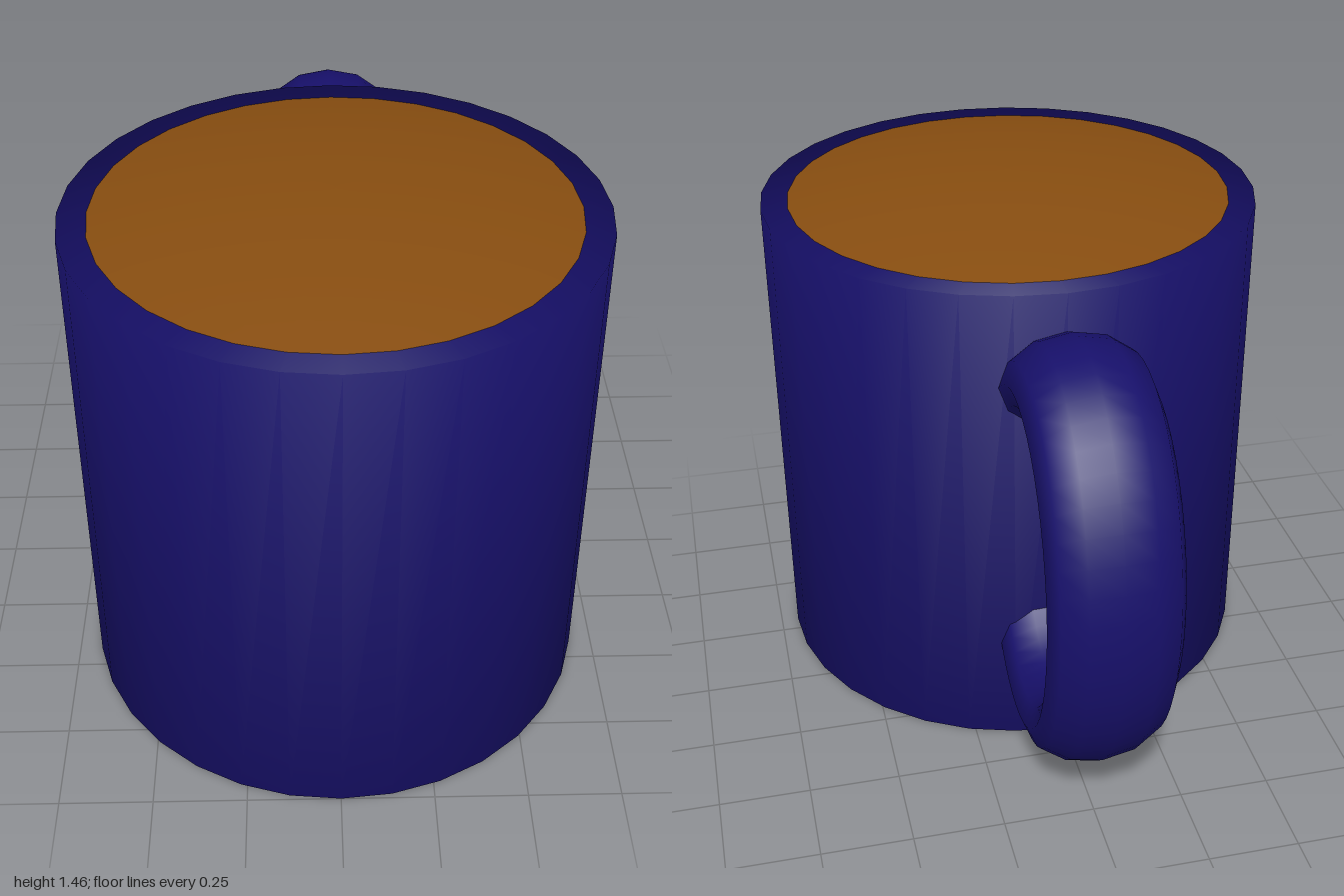
import * as THREE from 'three';
import { mergeVertices } from 'three/addons/utils/BufferGeometryUtils.js';

const SIDES = 32;
const BODY_Z = 0.3;
const HEIGHT = 1.4;

// Share the vertices across hard edges so the shading blends over them
function smoothAll(geometry) {
  geometry.deleteAttribute('normal');
  geometry.deleteAttribute('uv');
  const merged = mergeVertices(geometry, 1e-4);
  merged.computeVertexNormals();
  return merged;
}

function addPart(group, name, geometry, material) {
  const mesh = new THREE.Mesh(geometry, material);
  mesh.name = name;
  group.add(mesh);
  return mesh;
}

export function createModel() {
  const group = new THREE.Group();
  group.name = 'mug';
  const glaze = new THREE.MeshStandardMaterial({ color: 0x17106b });
  const coffee = new THREE.MeshStandardMaterial({ color: 0x874d10 });

  // Straight-sided body with a flat rim and base
  const body = smoothAll(new THREE.CylinderGeometry(0.7, 0.7, HEIGHT, SIDES));
  addPart(group, 'body', body, glaze).position.set(0, HEIGHT / 2, BODY_Z);

  // Drink: a shallow dome rising from the rim
  const radius = 0.625, rise = 0.062;
  const profile = [];
  for (let i = 0; i <= 10; i++) {
    const t = 1 - i / 10;
    profile.push(new THREE.Vector2(radius * t, rise * (1 - t * t)));
  }
  const dome = new THREE.LatheGeometry(profile, SIDES);
  addPart(group, 'drink', dome, coffee).position.set(0, HEIGHT, BODY_Z);

  // Handle: a ring turned into the yz plane, stretched tall and wide, its front half sunk in the body
  const ring = new THREE.TorusGeometry(0.35, 0.0875, 12, 48);
  ring.rotateY(Math.PI / 2);
  ring.scale(2, 1.39, 1);
  addPart(group, 'handle', ring, glaze).position.set(0, 0.73, -0.5625);

  return group;
}
